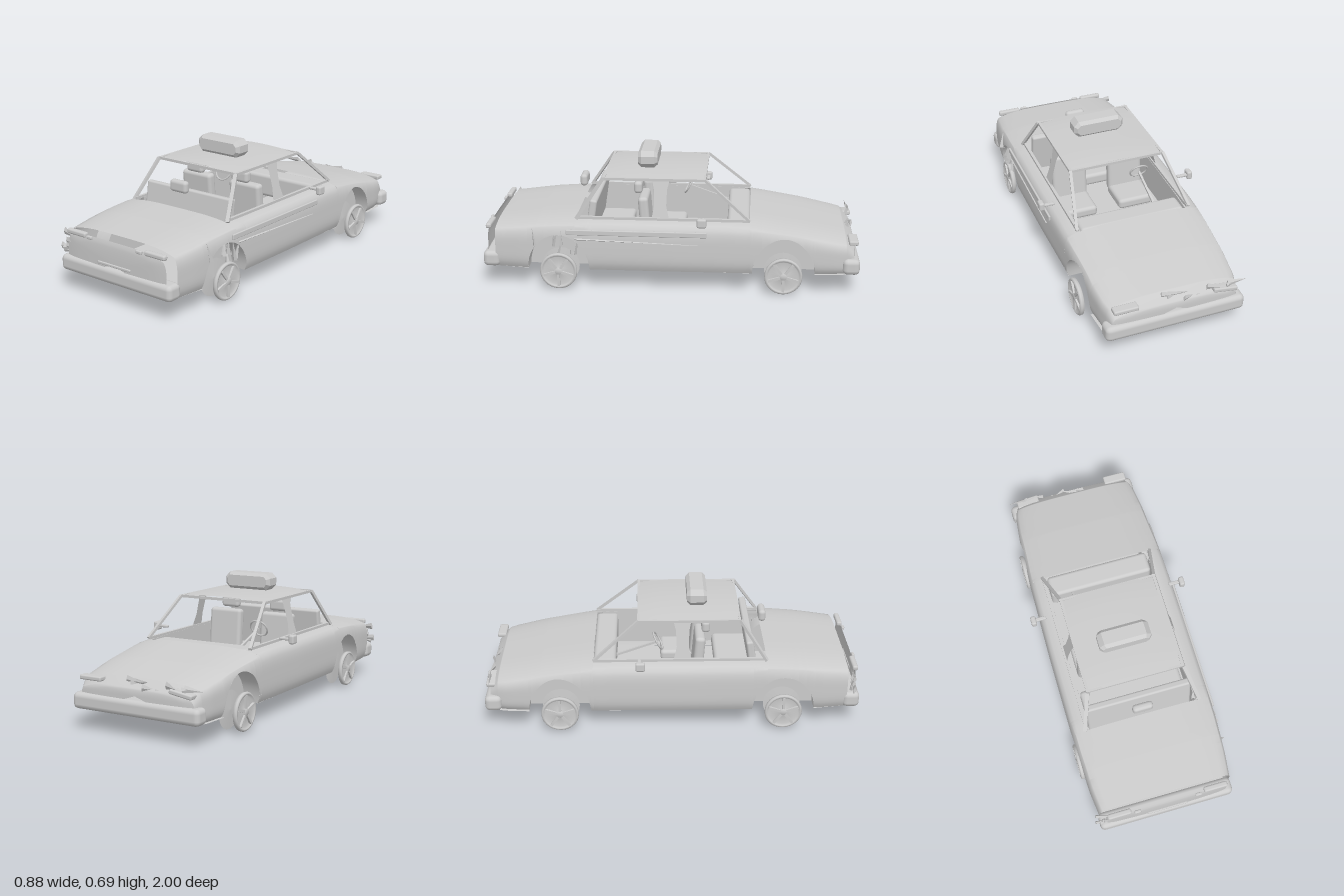
import * as THREE from 'three';
import { RoundedBoxGeometry } from 'three/addons/geometries/RoundedBoxGeometry.js';

const mat = new THREE.MeshStandardMaterial({ color: 0xcccccc, side: THREE.DoubleSide });
const flat = new THREE.MeshStandardMaterial({ color: 0xcccccc, side: THREE.DoubleSide, flatShading: true });
const V = (x, y, z) => new THREE.Vector3(x, y, z);
const FLOOR = 0.105, ARCH_Z = [0.59, -0.6], ARCH_R = 0.165, ARCH_H = 0.195;

// Piecewise-linear lookup through [z, value] pairs
function along(table, z) {
  if (z <= table[0][0]) return table[0][1];
  for (let i = 1; i < table.length; i++) {
    const [a, p] = table[i - 1], [b, q] = table[i];
    if (z <= b) return p + (q - p) * (z - a) / (b - a);
  }
  return table[table.length - 1][1];
}
const topLine = [[-0.97, 0.25], [-0.93, 0.29], [-0.7, 0.335], [-0.42, 0.378], [-0.3, 0.385], [0.45, 0.385], [0.7, 0.37], [0.93, 0.345], [0.975, 0.325]];
const widthLine = [[-0.97, 0.33], [-0.9, 0.355], [-0.75, 0.37], [-0.5, 0.382], [0, 0.388], [0.6, 0.386], [0.8, 0.375], [0.93, 0.36], [0.975, 0.33]];

function sillHeight(z) {
  let y = FLOOR;
  for (const c of ARCH_Z) {
    const d = (z - c) / ARCH_R;
    if (Math.abs(d) < 1) y = Math.max(y, FLOOR + ARCH_H * Math.sqrt(1 - d * d));
  }
  return y;
}

// Body cross-section: v 0..0.5 climbs the side, 0.5..1 crosses the deck to the middle
function section(z, v, side) {
  const w = along(widthLine, z), top = along(topLine, z), shoulder = top - 0.03;
  if (v <= 0.5) {
    const sill = Math.min(sillHeight(z), shoulder - 0.005);
    const y = sill + (shoulder - sill) * v * 2;
    const t = (y - FLOOR) / (shoulder - FLOOR);
    return V(side * w * (1.01 - 0.05 * Math.pow(2 * t - 1, 4)), y, z);
  }
  const k = 2 - v * 2;
  return V(side * w * 0.96 * k, shoulder + 0.03 * (1 - k ** 4), z);
}

// Grid surface through rows of points
function sheet(us, vs, fn) {
  const pos = [], idx = [], n = vs.length;
  us.forEach(u => vs.forEach(v => pos.push(...fn(u, v).toArray())));
  for (let i = 0; i < us.length - 1; i++) for (let j = 0; j < n - 1; j++) {
    const a = i * n + j;
    idx.push(a, a + 1, a + n, a + 1, a + n + 1, a + n);
  }
  const g = new THREE.BufferGeometry();
  g.setAttribute('position', new THREE.Float32BufferAttribute(pos, 3));
  g.setIndex(idx);
  g.computeVertexNormals();
  return g;
}
const range = (a, b, n) => Array.from({ length: n + 1 }, (_, i) => a + (b - a) * i / n);

export function createModel() {
  const car = new THREE.Group();
  car.name = 'car';
  const add = (name, geo, x = 0, y = 0, z = 0, m = mat, parent = car) => {
    const mesh = new THREE.Mesh(geo, m);
    mesh.name = name;
    mesh.position.set(x, y, z);
    parent.add(mesh);
    return mesh;
  };
  const box = (name, w, h, d, x, y, z, r = 0.01) => add(name, new RoundedBoxGeometry(w, h, d, 2, r), x, y, z);
  const beam = (name, a, b, w, d) => {
    const m = add(name, new THREE.BoxGeometry(w, d, a.distanceTo(b)));
    m.position.copy(a).lerp(b, 0.5);
    m.lookAt(b);
    return m;
  };

  // Stations along the car, denser round the wheel arches
  const stations = range(-0.97, 0.975, 44).concat([-0.42, 0.5, -0.93, 0.93]);
  for (const c of ARCH_Z) for (let i = 0; i <= 20; i++) stations.push(c + ARCH_R * Math.cos(i * Math.PI / 20));
  stations.sort((a, b) => a - b);
  const between = (a, b) => stations.filter(z => z >= a && z <= b);

  // Skin: full width for both decks, sides only round the cabin
  const full = range(-1, 1, 48), fullPoint = (z, v) => section(z, 1 - Math.abs(v), v < 0 ? -1 : 1);
  add('bonnet', sheet(between(-0.97, -0.42), full, fullPoint));
  add('boot', sheet(between(0.5, 0.975), full, fullPoint));
  for (const s of [-1, 1]) add('bodySide', sheet(between(-0.42, 0.5), range(0, 0.6, 14), (z, v) => section(z, v, s)));
  for (const [z, name, bulge] of [[-0.97, 'noseFace', -0.012], [0.975, 'tailFace', 0.012]]) {
    add(name, sheet(range(0, 1, 8), full, (u, v) => {
      const p = fullPoint(z, v);
      return V(p.x * (1 - u), p.y + (0.21 - p.y) * u, z + bulge * Math.sqrt(1 - (1 - u) ** 2));
    }));
  }

  // Floor with notches for the wheels
  const fl = new THREE.Shape();
  const edge = [[0.33, -0.97], [0.36, -0.9]];
  for (const c of [-0.6, 0.59]) edge.push([0.37, c - ARCH_R], [0.29, c - ARCH_R], [0.29, c + ARCH_R], [0.37, c + ARCH_R]);
  edge.push([0.345, 0.93], [0.32, 0.975]);
  fl.setFromPoints([...edge, ...edge.slice().reverse().map(([x, z]) => [-x, z])].map(p => new THREE.Vector2(...p)));
  add('floor', new THREE.ShapeGeometry(fl), 0, FLOOR, 0).rotation.x = Math.PI / 2;

  // Wheel wells and wheels
  const rim = [[0, 0.002], [0.018, 0.002], [0.022, -0.008], [0.078, -0.012], [0.086, 0], [0.095, -0.001], [0.1, -0.008], [0.098, -0.022], [0.085, -0.028]];
  const rimGeo = new THREE.LatheGeometry(rim.map(p => new THREE.Vector2(...p)), 28);
  for (const s of [-1, 1]) for (const c of ARCH_Z) {
    add('wheelWell', sheet(range(0, Math.PI, 20), [0, 1], (a, v) => {
      const z = c + ARCH_R * Math.cos(a), y = FLOOR + ARCH_H * Math.sin(a);
      return V(v ? section(z, 0, s).x : s * 0.29, y, z);
    }));
    add('wellWall', sheet(range(0, Math.PI, 20), [0, 1], (a, v) =>
      V(s * 0.29, FLOOR + v * ARCH_H * Math.sin(a), c + ARCH_R * Math.cos(a))));
    const wheel = new THREE.Group();
    wheel.name = 'wheel';
    wheel.position.set(s * 0.4, 0.1, c);
    wheel.rotation.z = -s * Math.PI / 2;
    add('rim', rimGeo, 0, 0, 0, mat, wheel);
    for (let i = 0; i < 5; i++) {
      const a = i * Math.PI * 0.4, spoke = add('spoke', new THREE.BoxGeometry(0.068, 0.012, 0.014), 0.05 * Math.cos(a), -0.005, -0.05 * Math.sin(a), mat, wheel);
      spoke.rotation.y = a;
    }
    car.add(wheel);
    add('innerWheelDisc', new THREE.ConeGeometry(0.1, 0.007, 24, 1, true), s * 0.303, 0.1, c).rotation.z = -s * Math.PI / 2;
  }

  // Roof and pillars
  const roofPoint = (z, x) => V(x, 0.6 - 0.016 * (x / 0.265) ** 2 - 0.008 * Math.abs((z - 0.09) / 0.27) ** 4, z);
  add('roof', sheet(range(-0.18, 0.36, 12), range(-0.265, 0.265, 12), roofPoint));
  for (const s of [-1, 1]) {
    beam('roofRail', V(s * 0.26, 0.577, -0.18), V(s * 0.26, 0.577, 0.36), 0.015, 0.014);
    beam('windscreenPillar', V(s * 0.315, 0.375, -0.42), V(s * 0.262, 0.58, -0.18), 0.016, 0.014);
    beam('rearPillar', V(s * 0.32, 0.37, 0.5), V(s * 0.262, 0.58, 0.36), 0.02, 0.014);
    beam('windowSill', V(s * 0.31, 0.376, -0.42), V(s * 0.31, 0.376, 0.5), 0.016, 0.014);
    add('doorPillar', sheet([0, 0.35, 0.75, 1], [0, 1], (t, v) =>
      V(s * (0.312 - 0.05 * t), 0.37 + 0.212 * t, v ? 0.1 - 0.015 * Math.sin(t * Math.PI) : 0.005 + 0.02 * Math.sin(t * Math.PI))));
    add('doorLining', new THREE.PlaneGeometry(0.84, 0.2), s * 0.3, 0.275, 0.03).rotation.y = Math.PI / 2;
  }
  for (const z of [-0.178, 0.355]) beam('roofCrossRail', V(-0.26, 0.578, z), V(0.26, 0.578, z), 0.012, 0.014);

  // Roof sign with chamfered ends
  const sign = new THREE.Shape([[-0.108, -0.03], [0.108, -0.03], [0.125, -0.013], [0.125, 0.013], [0.108, 0.03], [-0.108, 0.03], [-0.125, 0.013], [-0.125, -0.013]].map(p => new THREE.Vector2(...p)));
  add('roofSign', new THREE.ExtrudeGeometry(sign, { depth: 0.07, bevelThickness: 0.018, bevelSize: 0.016, bevelSegments: 1 }), 0, 0.647, 0.1, flat);

  // Interior
  for (const s of [-1, 1]) {
    box('frontSeat', 0.2, 0.06, 0.2, s * 0.165, 0.2, 0.04, 0.02);
    box('frontSeatBack', 0.2, 0.28, 0.055, s * 0.165, 0.335, 0.14, 0.02).rotation.x = 0.08;
    box('headrest', 0.11, 0.065, 0.045, s * 0.155, 0.512, 0.18, 0.018);
  }
  box('rearBench', 0.57, 0.07, 0.2, 0, 0.2, 0.34, 0.02);
  box('rearBenchBack', 0.58, 0.28, 0.04, 0, 0.325, 0.43, 0.012).rotation.x = -0.15;
  box('rearHeadrest', 0.112, 0.065, 0.04, 0, 0.5, 0.495, 0.018);
  box('dashboard', 0.58, 0.13, 0.12, 0, 0.305, -0.36, 0.02);
  add('steeringWheel', new THREE.TorusGeometry(0.05, 0.005, 6, 20), -0.17, 0.42, -0.075).rotation.x = -0.5;
  beam('steeringColumn', V(-0.17, 0.415, -0.08), V(-0.17, 0.33, -0.32), 0.012, 0.012);

  // Bumpers, lamps, plate bar and door mirrors
  for (const s of [-1, 1]) {
    box('bumper', 0.745, 0.085, 0.09, 0, 0.148, s * 0.955, 0.026);
    box('tailLamp', 0.13, 0.027, 0.03, s * 0.265, 0.32, 0.972, 0.01);
    box('reversingLamp', 0.036, 0.018, 0.016, s * 0.168, 0.318, 0.985, 0.006);
    box('headLamp', 0.13, 0.024, 0.05, s * 0.265, 0.27 - (s < 0 ? 0.02 : 0), -0.965, 0.008).rotation.z = s < 0 ? 0.15 : 0;
    box('mirrorArm', 0.07, 0.014, 0.02, s * 0.39, 0.398, -0.175, 0.005);
    box('doorMirror', 0.03, 0.048, 0.05, s * 0.427, 0.398, -0.17, 0.01);
  }
  box('plateBar', 0.22, 0.014, 0.012, 0, 0.206, 0.988, 0.004);

  // Side trim and a long gouge below it
  box('sideTrim', 0.012, 0.028, 0.74, 0.389, 0.318, 0.175, 0.004);
  add('sideGouge', sheet(range(-0.15, 0.5, 6), [-1, 0, 1], (z, v) =>
    V(0.392 + (v ? 0 : 0.006), 0.262 + (z + 0.15) * 0.03 + v * 0.008 * (z + 0.15), z)), 0, 0, 0, flat);

  // Crumpled metal at the damaged corners
  let seed = 7;
  const rnd = () => (seed = (seed * 16807) % 2147483647) / 2147483647;
  const shards = (name, n, c, spread, dir) => {
    for (let i = 0; i < n; i++) {
      const m = add(name, new THREE.ConeGeometry(0.012 + rnd() * 0.01, 0.06 + rnd() * 0.05, 4), 0, 0, 0, flat);
      m.position.set(...[0, 1, 2].map(k => c[k] + (rnd() - 0.5) * spread[k]));
      m.scale.z = 0.4;
      m.rotation.set((rnd() - 0.5) * 0.5, (rnd() - 0.5) * 0.6, dir + (rnd() - 0.5) * 0.5);
    }
  };
  shards('tailCrumple', 12, [-0.31, 0.25, 0.965], [0.07, 0.13, 0.02], -1.5);
  shards('noseCrumple', 14, [-0.16, 0.255, -0.96], [0.36, 0.05, 0.03], 1.5);
  shards('archCrumple', 7, [0.382, 0.265, 0.6], [0.01, 0.06, 0.26], 0.1);
  return car;
}
